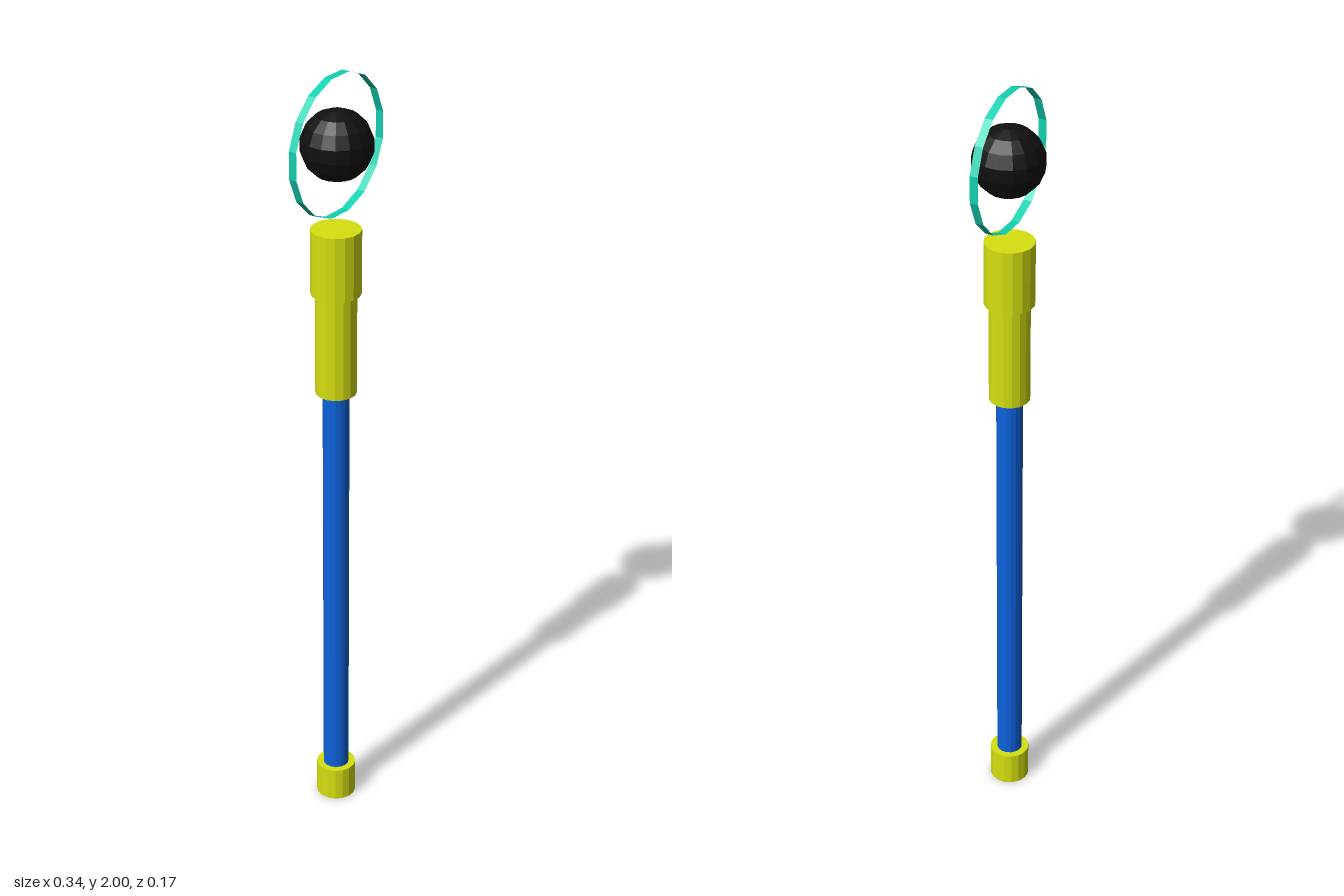
import * as THREE from 'three';

const SIDES = 16;
const HALF = Math.PI / SIDES; // turns a flat facet towards each axis

const flat = (name, color, extra = {}) => {
  const m = new THREE.MeshStandardMaterial({ color, flatShading: true, ...extra });
  m.name = name;
  return m;
};

export function createModel() {
  const model = new THREE.Group();
  model.name = 'wand';
  const yellow = flat('yellow', 0xd6e010);
  const blue = flat('blue', 0x0d62dc);
  const teal = flat('teal', 0x12d0b0, { side: THREE.DoubleSide });
  const black = flat('black', 0x101010);

  const add = (name, geometry, material, x, y) => {
    const mesh = new THREE.Mesh(geometry, material);
    mesh.name = name;
    mesh.position.set(x, y, 0);
    model.add(mesh);
    return mesh;
  };

  // Upright rod: stacked cylinders
  const rod = (name, radius, y0, y1, material) => {
    const g = new THREE.CylinderGeometry(radius, radius, y1 - y0, SIDES);
    g.rotateY(HALF);
    add(name, g, material, -0.004, (y0 + y1) / 2);
  };
  rod('bottomCap', 0.051, 0, 0.09, yellow);
  rod('shaft', 0.033, 0.09, 1.19, blue);
  rod('collar', 0.051, 1.19, 1.455, yellow);
  rod('head', 0.062, 1.455, 1.62, yellow);

  // Floating faceted ball with flat poles
  const profile = [new THREE.Vector2(0, -0.0855)];
  for (let i = 0; i < 8; i++) {
    const a = HALF + i * 2 * HALF;
    profile.push(new THREE.Vector2(0.0885 * Math.sin(a), -0.0872 * Math.cos(a)));
  }
  profile.push(new THREE.Vector2(0, 0.0855));
  const ball = new THREE.LatheGeometry(profile, SIDES);
  ball.rotateY(HALF);
  add('ball', ball, black, 0, 1.829);

  // Thin open hoop around the ball
  const hoop = new THREE.CylinderGeometry(0.174, 0.174, 0.021, SIDES, 1, true);
  hoop.rotateY(HALF);
  hoop.rotateX(Math.PI / 2);
  add('hoop', hoop, teal, 0, 1.829);

  return model;
}
